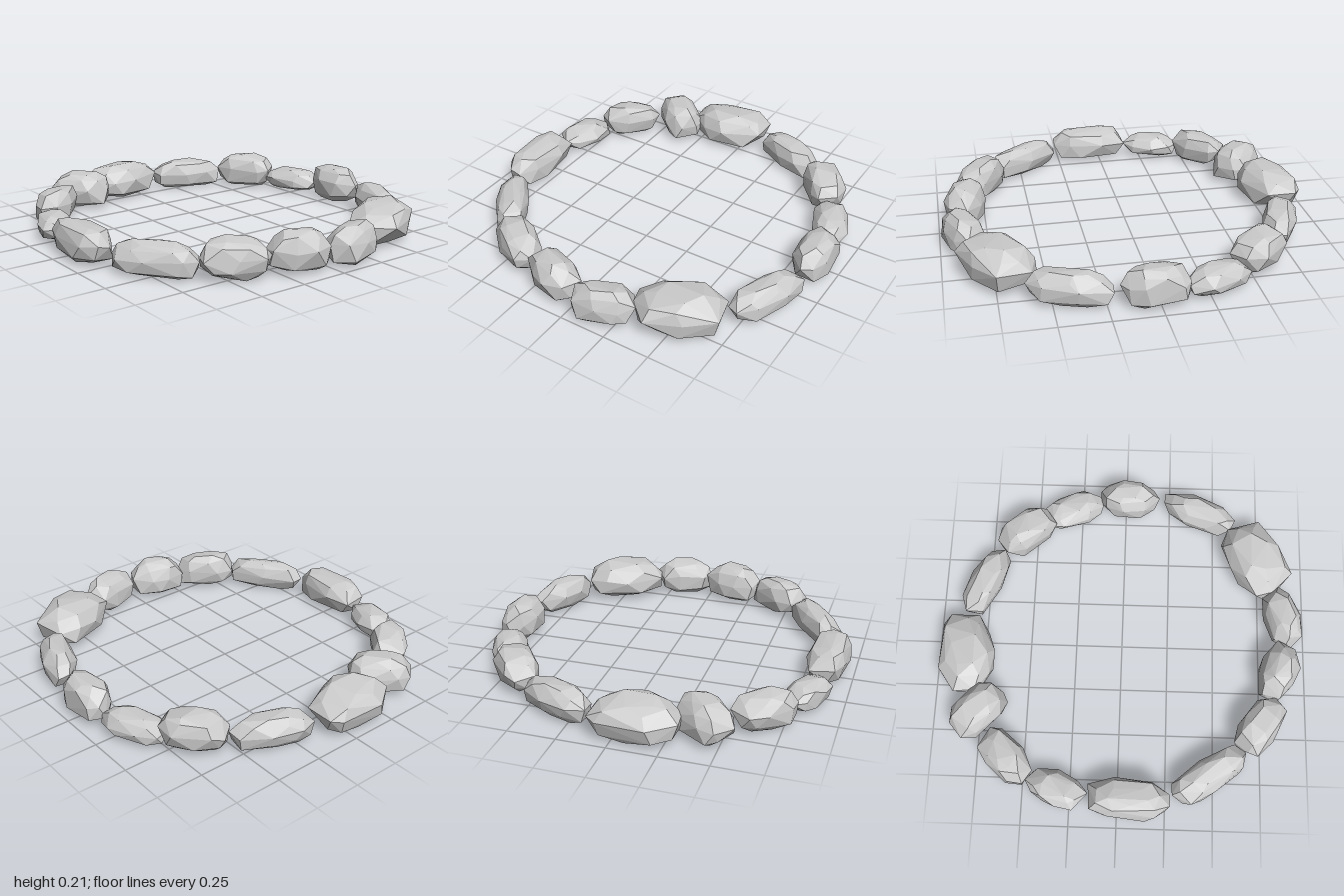
import * as THREE from 'three';
import { ConvexGeometry } from 'three/addons/geometries/ConvexGeometry.js';

// Ring of stones: [x, z, length, width, height, heading in degrees (x towards z)]
const STONES = [
  [0.02, -0.87, 0.34, 0.20, 0.20, 3],
  [0.41, -0.80, 0.43, 0.18, 0.17, 22],
  [0.73, -0.51, 0.45, 0.30, 0.21, 63],
  [0.88, -0.17, 0.34, 0.19, 0.20, 74],
  [0.85, 0.15, 0.32, 0.21, 0.21, 108],
  [0.75, 0.45, 0.34, 0.20, 0.20, 124],
  [0.48, 0.72, 0.45, 0.18, 0.17, 145],
  [0.06, 0.86, 0.43, 0.21, 0.18, 2],
  [-0.32, 0.81, 0.33, 0.19, 0.13, 22],
  [-0.59, 0.66, 0.34, 0.20, 0.19, 47],
  [-0.76, 0.41, 0.33, 0.23, 0.20, 133],
  [-0.84, 0.09, 0.44, 0.31, 0.20, 83],
  [-0.77, -0.34, 0.42, 0.18, 0.17, 112],
  [-0.56, -0.65, 0.33, 0.21, 0.20, 143],
  [-0.30, -0.81, 0.35, 0.19, 0.13, 155],
];

// Cross-sections of a stone: [height, size, number of corners]
const RINGS = [[0, 0.62, 6], [0.16, 0.93, 7], [0.55, 1, 8], [0.86, 0.78, 7], [1, 0.48, 5]];

function seeded(seed) {
  let s = seed * 7919 + 17;
  return () => (s = (s * 16807) % 2147483647) / 2147483647;
}

// Chipped, faceted boulder fitted to the given size, resting on y = 0
function boulder(length, width, height, seed) {
  const rand = seeded(seed);
  for (let i = 0; i < 5; i++) rand();
  const jitter = (amount) => (rand() - 0.5) * amount;
  const soften = (v) => Math.sign(v) * Math.abs(v) ** 0.8;
  const points = [];
  for (const [y, size, corners] of RINGS) {
    const turn = rand() * Math.PI * 2;
    for (let i = 0; i < corners; i++) {
      const a = turn + ((i + jitter(0.5)) / corners) * Math.PI * 2;
      const r = size * (1 + jitter(0.16));
      points.push(new THREE.Vector3(soften(Math.cos(a)) * r, y + jitter(0.14), soften(Math.sin(a)) * r));
    }
  }
  const box = new THREE.Box3().setFromPoints(points);
  const span = box.getSize(new THREE.Vector3());
  const mid = box.getCenter(new THREE.Vector3());
  for (const p of points) {
    p.set(((p.x - mid.x) / span.x) * length, ((p.y - box.min.y) / span.y) * height, ((p.z - mid.z) / span.z) * width);
  }
  return new ConvexGeometry(points);
}

export function createModel() {
  const group = new THREE.Group();
  group.name = 'stoneRing';
  const material = new THREE.MeshStandardMaterial({ color: 0xcccccc, flatShading: true });

  STONES.forEach(([x, z, length, width, height, heading], i) => {
    const stone = new THREE.Mesh(boulder(length, width, height - 0.005, i + 1), material);
    stone.name = `stone${i + 1}`;
    stone.position.set(x, i % 3 ? 0.005 : 0, z);
    stone.rotation.y = -THREE.MathUtils.degToRad(heading);
    group.add(stone);
  });
  return group;
}
